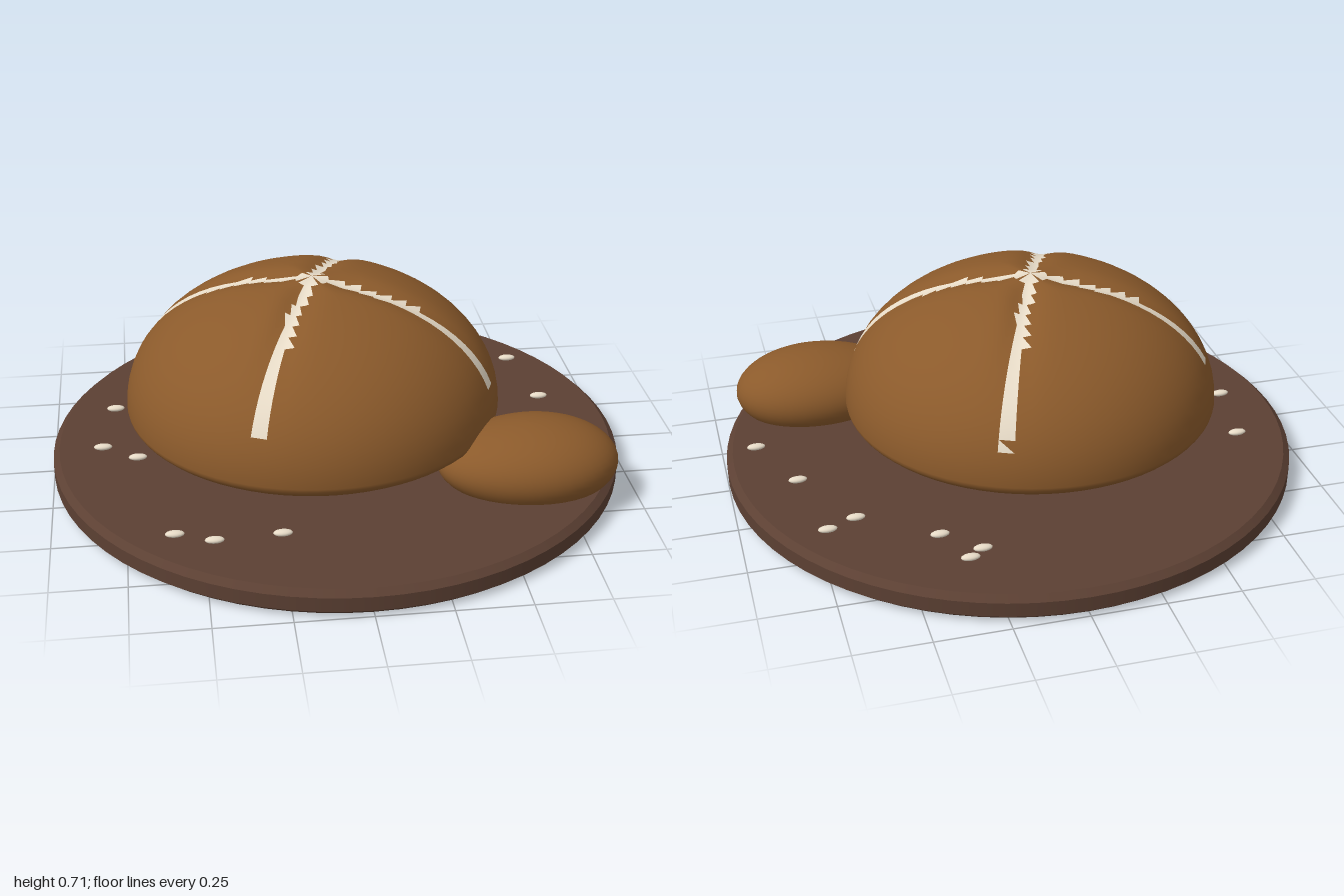
import * as THREE from 'three';
import { mergeVertices } from 'three/addons/utils/BufferGeometryUtils.js';

const material = (color) => new THREE.MeshStandardMaterial({ color });
const crust = material(0x8b5a2b);
const wood = material(0x5c4033);
const flour = material(0xe8dcc8);

const SCORE_ANGLE = THREE.MathUtils.degToRad(21.5);

// Position measured along and across the crossed score lines
function scoreFrame(x, z) {
  const c = Math.cos(SCORE_ANGLE), s = Math.sin(SCORE_ANGLE);
  return [x * c + z * s, z * c - x * s];
}
const scoreDistance = (x, z) => Math.min(...scoreFrame(x, z).map(Math.abs));

function addMesh(parent, name, geometry, mat) {
  const mesh = new THREE.Mesh(geometry, mat);
  mesh.name = name;
  parent.add(mesh);
  return mesh;
}

// Round board with chamfered rims; doubled points keep the edges sharp
function boardGeometry() {
  const corners = [[0, 0], [0.975, 0], [1, 0.022], [1, 0.072], [0.978, 0.092], [0, 0.092]];
  const points = [];
  corners.forEach(([r, y], i) => {
    points.push(new THREE.Vector2(r, y));
    if (i > 0 && i < corners.length - 1) points.push(new THREE.Vector2(r, y));
  });
  return new THREE.LatheGeometry(points, 72);
}

// Domed loaf with a shallow underside and grooves along the scores
function loafGeometry() {
  const sphere = new THREE.SphereGeometry(1, 72, 36);
  sphere.deleteAttribute('uv');
  sphere.deleteAttribute('normal');
  const geometry = mergeVertices(sphere, 1e-5);
  const p = geometry.attributes.position;
  for (let i = 0; i < p.count; i++) {
    const x = p.getX(i) * 0.652, z = p.getZ(i) * 0.652, h = p.getY(i);
    let y = h * (h > 0 ? 0.455 : 0.137);
    if (h > 0) y -= 0.025 * h * h * Math.exp(-((scoreDistance(x, z) / 0.05) ** 2)) * Math.min(1, Math.hypot(x, z) / 0.12);
    p.setXYZ(i, x, y, z);
  }
  geometry.computeVertexNormals();
  return geometry;
}

// Divide the loaf's faces into plain crust and floured scores
function splitScores(geometry) {
  const p = geometry.attributes.position, index = geometry.index.array;
  const lists = { crust: [], scores: [] };
  for (let i = 0; i < index.length; i += 3) {
    const tri = [index[i], index[i + 1], index[i + 2]];
    const lowest = Math.min(...tri.map((v) => p.getY(v)));
    // mean of the extents puts both triangles of a cell in the same list
    const mid = (f) => { const a = tri.map(f); return (Math.min(...a) + Math.max(...a)) / 2; };
    const x = mid((v) => p.getX(v)), z = mid((v) => p.getZ(v));
    const limit = x + z * 0.2 > 0.12 ? 0.11 : 0.148;
    const scored = lowest > limit && scoreDistance(x, z) < 0.0185;
    lists[scored ? 'scores' : 'crust'].push(...tri);
  }
  const part = (list) => geometry.clone().setIndex(list);
  return [part(lists.crust), part(lists.scores)];
}

// Small bun, narrower towards its left end
function bunGeometry() {
  const geometry = new THREE.SphereGeometry(1, 40, 28);
  const p = geometry.attributes.position;
  for (let i = 0; i < p.count; i++) {
    const x = p.getX(i);
    const taper = 1 + 0.07 * x * (1 - 0.3 * x);
    p.setXYZ(i, x * 0.31, p.getY(i) * 0.145 * taper, p.getZ(i) * 0.21 * taper);
  }
  geometry.computeVertexNormals();
  return geometry;
}

export function createModel() {
  const model = new THREE.Group();
  model.name = 'breadBoard';

  addMesh(model, 'board', boardGeometry(), wood);

  const loaf = new THREE.Group();
  loaf.name = 'loaf';
  loaf.position.set(-0.08, 0.25, 0);
  const [crustFaces, scoreFaces] = splitScores(loafGeometry());
  addMesh(loaf, 'loafCrust', crustFaces, crust);
  addMesh(loaf, 'flouredScores', scoreFaces, flour);
  model.add(loaf);

  addMesh(model, 'bun', bunGeometry(), crust).position.set(0.61, 0.158, 0.39);

  // Scattered seeds
  const seeds = new THREE.Group();
  seeds.name = 'seeds';
  const seedGeometry = new THREE.SphereGeometry(1, 14, 10).scale(0.032, 0.011, 0.016);
  const places = [
    [0.32, -0.745], [0.27, -0.705], [0.385, -0.595], [0.73, -0.475], [0.63, -0.43],
    [0.78, -0.155], [0.89, 0.095], [-0.78, -0.245], [-0.825, 0.035], [-0.705, 0.12],
    [-0.595, 0.625], [-0.47, 0.675], [-0.25, 0.66],
  ];
  for (const [x, z] of places) addMesh(seeds, 'seed', seedGeometry, flour).position.set(x, 0.106, z);
  model.add(seeds);

  return model;
}
